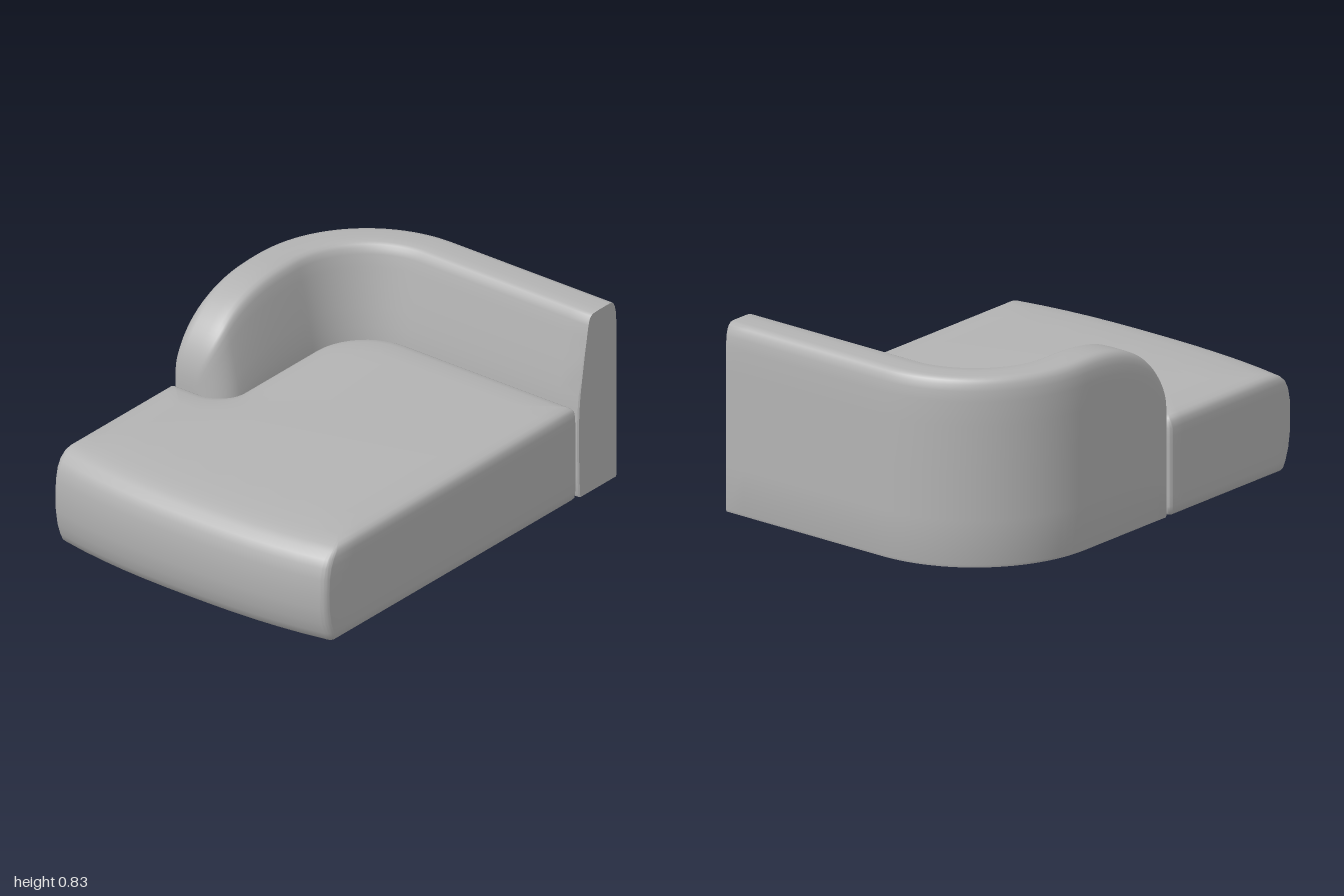
import * as THREE from 'three';
import { toCreasedNormals } from 'three/addons/utils/BufferGeometryUtils.js';

// Skin a list of equal-length closed rings and cap both ends.
// flatten gives the two axes in which the first and last ring are triangulated.
function loft(rings, startAxes, endAxes) {
  const n = rings[0].length;
  const pos = rings.flat().flatMap((p) => [p.x, p.y, p.z]);
  const index = [];
  for (let k = 0; k < rings.length - 1; k++) {
    for (let i = 0; i < n; i++) {
      const j = (i + 1) % n;
      const a = k * n, b = a + n;
      index.push(a + i, b + i, b + j, a + i, b + j, a + j);
    }
  }
  const cap = (k, [u, v], reverse) => {
    const flat = rings[k].map((p) => new THREE.Vector2(p[u], p[v]));
    const sign = Math.sign(THREE.ShapeUtils.area(flat)) * (reverse ? -1 : 1);
    for (const [a, b, c] of THREE.ShapeUtils.triangulateShape(flat.slice(), [])) {
      const same = THREE.ShapeUtils.area([flat[a], flat[b], flat[c]]) * sign > 0;
      index.push(k * n + a, k * n + (same ? b : c), k * n + (same ? c : b));
    }
  };
  cap(0, startAxes, false);
  cap(rings.length - 1, endAxes, true);
  const geo = new THREE.BufferGeometry();
  geo.setAttribute('position', new THREE.Float32BufferAttribute(pos, 3));
  geo.setIndex(index);
  return toCreasedNormals(geo, 0.7);
}

// Right-angled outline with rounded corners [x, z, radius], inset by d.
function roundedOutline(corners, d) {
  const n = corners.length, arcSteps = 10, edgeSteps = 12;
  const dir = corners.map(([x, z], i) => {
    const [x2, z2] = corners[(i + 1) % n];
    return new THREE.Vector2(x2 - x, z2 - z).normalize();
  });
  const arcs = corners.map(([x, z, r], i) => {
    const d1 = dir[(i + n - 1) % n], d2 = dir[i];
    const n1 = new THREE.Vector2(-d1.y, d1.x), n2 = new THREE.Vector2(-d2.y, d2.x);
    const turn = d1.cross(d2) > 0 ? 1 : -1;
    const radius = Math.max(r - turn * d, 0.006);
    const centre = new THREE.Vector2(x, z).addScaledVector(n1, d + turn * radius)
      .addScaledVector(n2, d + turn * radius);
    return Array.from({ length: arcSteps + 1 }, (_, k) => {
      const t = (k / arcSteps) * Math.PI / 2;
      return centre.clone().addScaledVector(n1, -turn * radius * Math.cos(t))
        .addScaledVector(n2, -turn * radius * Math.sin(t));
    });
  });
  return arcs.flatMap((arc, i) => {
    const next = arcs[(i + 1) % n][0], last = arc[arcSteps];
    const edge = [];
    for (let k = 1; k < edgeSteps; k++) edge.push(last.clone().lerp(next, k / edgeSteps));
    return [...arc, ...edge];
  });
}

// Seat block: stacked outlines with a bowed, rounded front and a soft crown.
function seatGeometry() {
  const bow = 0.065;
  // height, inset, front position at the middle
  const levels = [
    [0, 0.012, 0.945], [0.01, 0.004, 0.956], [0.04, 0, 0.97], [0.09, 0, 0.987],
    [0.16, 0, 0.998], [0.23, 0, 1], [0.3, 0, 0.997], [0.35, 0, 0.986],
    [0.385, 0.001, 0.968], [0.41, 0.005, 0.94], [0.425, 0.014, 0.91],
    [0.434, 0.03, 0.875], [0.44, 0.06, 0.82], [0.446, 0.11, 0.73], [0.449, 0.16, 0.65],
  ];
  const rings = levels.map(([y, inset, front]) => {
    const f = front + inset - bow;
    const corners = [
      [0.726, -0.73, 0.015], [0.726, f, 0.03], [-0.728, f, 0.03],
      [-0.728, 0.142, 0.025], [-0.45, 0.142, 0.12], [-0.45, -0.73, 0.27],
    ];
    return roundedOutline(corners, inset).map((p) => {
      const bulge = p.y > 0.4 ? bow * (1 - Math.min(1, Math.abs(p.x) / 0.726) ** 2.5) : 0;
      return new THREE.Vector3(p.x, y, p.y + bulge);
    });
  });
  return loft(rings, ['x', 'z'], ['x', 'z']);
}

// Backrest turning into the arm: one section swept around the corner.
function backrestGeometry() {
  // across (0 outer, 1 inner), fraction of height
  const section = [
    [0.015, 0], [0, 0.015], [0, 0.25], [0, 0.5], [0, 0.75], [0.005, 0.88], [0.02, 0.935],
    [0.045, 0.967], [0.08, 0.985], [0.13, 0.997], [0.2, 1], [0.45, 1], [0.6, 0.998],
    [0.66, 0.99], [0.7, 0.975], [0.73, 0.945], [0.77, 0.88], [0.83, 0.78], [0.89, 0.67],
    [0.94, 0.57], [0.97, 0.47], [0.98, 0.3], [0.965, 0.12], [0.95, 0.015], [0.935, 0],
  ];
  // stations: outer x, z and inner x, z
  const stations = [[0.726, -0.994, 0.726, -0.739], [0.72, -1, 0.72, -0.733]];
  for (let i = 1; i <= 8; i++) {
    const t = i / 9;
    stations.push([0.72 - 0.845 * t, -1, 0.72 - 0.9 * t, -0.733]);
  }
  for (let i = 0; i <= 24; i++) {
    const a = (i / 24) * Math.PI / 2, s = Math.sin(a), c = Math.cos(a);
    stations.push([-0.125 - 0.6 * s, -0.4 - 0.6 * c, -0.18 - 0.27 * s, -0.463 - 0.27 * c]);
  }
  for (let i = 1; i <= 14; i++) {
    const t = i / 14;
    stations.push([-0.725, -0.4 + 0.42 * t, -0.45, -0.463 + 0.483 * t]);
  }
  // rounded end of the arm
  const r = 0.12;
  for (let i = 1; i <= 12; i++) {
    const a = (i / 12) * Math.PI / 2;
    const z = 0.02 + r * Math.sin(a);
    const outer = -0.725 + 0.02 * Math.max(0, (z - 0.12) / 0.02) ** 2;
    stations.push([outer, z, -0.45 - r * (1 - Math.cos(a)), z]);
  }
  const height = (z) => {
    const u = THREE.MathUtils.clamp((z + 0.4) / 0.54, 0, 1);
    return 0.44 + 0.39 * (1 - u ** 2.6) ** (1 / 2.2);
  };
  const rings = stations.map(([ox, oz, ix, iz]) => section.map(([s, v]) => {
    const z = oz + (iz - oz) * s;
    return new THREE.Vector3(ox + (ix - ox) * s, v * height(z), z);
  }));
  return loft(rings, ['z', 'y'], ['x', 'y']);
}

export function createModel() {
  const group = new THREE.Group();
  group.name = 'chaiseSofa';
  const fabric = new THREE.MeshStandardMaterial({ color: 0xb3b3b3 });
  fabric.name = 'greyFabric';
  const parts = { seat: seatGeometry(), backrestAndArm: backrestGeometry() };
  for (const [name, geometry] of Object.entries(parts)) {
    const mesh = new THREE.Mesh(geometry, fabric);
    mesh.name = name;
    group.add(mesh);
  }
  return group;
}
